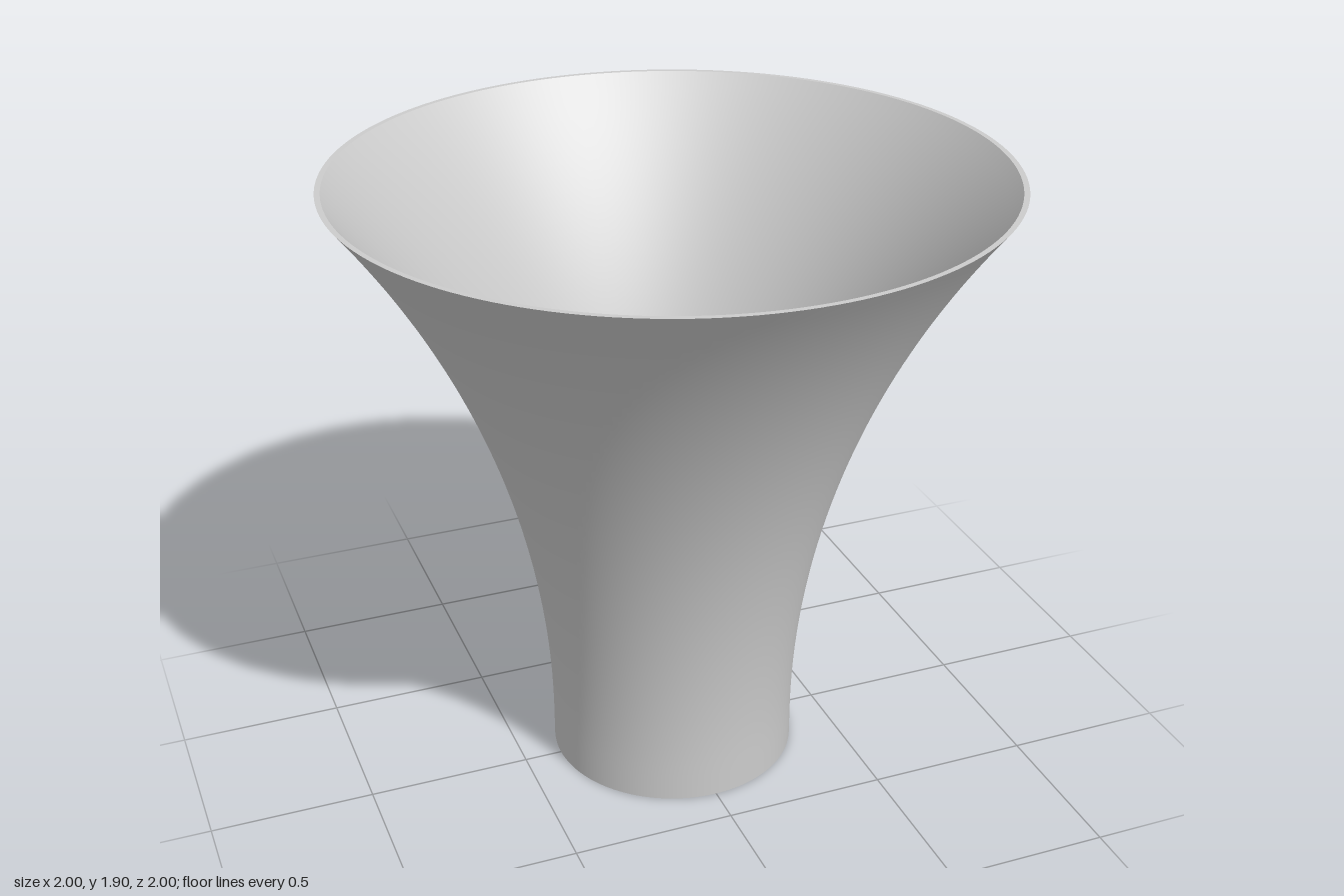
import * as THREE from 'three';

const HEIGHT = 1.9, BASE_R = 0.382, RIM_R = 1, WALL = 0.013, FLOOR = 0.02;
const ARC_START = 0.1, STEPS = 48, SIDES = 160;

// Radius of the flare arc: upright at ARC_START, reaching RIM_R at HEIGHT
const rise = HEIGHT - ARC_START, spread = RIM_R - BASE_R;
const ARC_R = (rise * rise + spread * spread) / (2 * spread);

// Wall radius at height y; offset moves the wall inward along its normal
function wallRadius(y, offset) {
  const dy = Math.max(0, y - ARC_START);
  const r = ARC_R + offset;
  return BASE_R + ARC_R - Math.sqrt(r * r - dy * dy);
}

function wallProfile(yFrom, yTo, offset) {
  return Array.from({ length: STEPS + 1 }, (_, i) => {
    const y = THREE.MathUtils.lerp(yFrom, yTo, i / STEPS);
    return new THREE.Vector2(wallRadius(y, offset), y);
  });
}

export function createModel() {
  const group = new THREE.Group();
  group.name = 'flaredVase';
  const material = new THREE.MeshStandardMaterial({ color: 0xcccccc });

  const add = (name, points) => {
    const mesh = new THREE.Mesh(new THREE.LatheGeometry(points, SIDES), material);
    mesh.name = name;
    group.add(mesh);
  };

  const outer = wallProfile(0, HEIGHT, 0);
  const inner = wallProfile(HEIGHT, FLOOR, -WALL * -1);
  const axis = (y) => new THREE.Vector2(0, y);

  // Separate lathes keep the edges between the surfaces sharp
  add('base', [axis(0), outer[0]]);
  add('outerWall', outer);
  add('rim', [outer[STEPS], inner[0]]);
  add('innerWall', inner);
  add('floor', [inner[STEPS], axis(FLOOR)]);
  return group;
}
